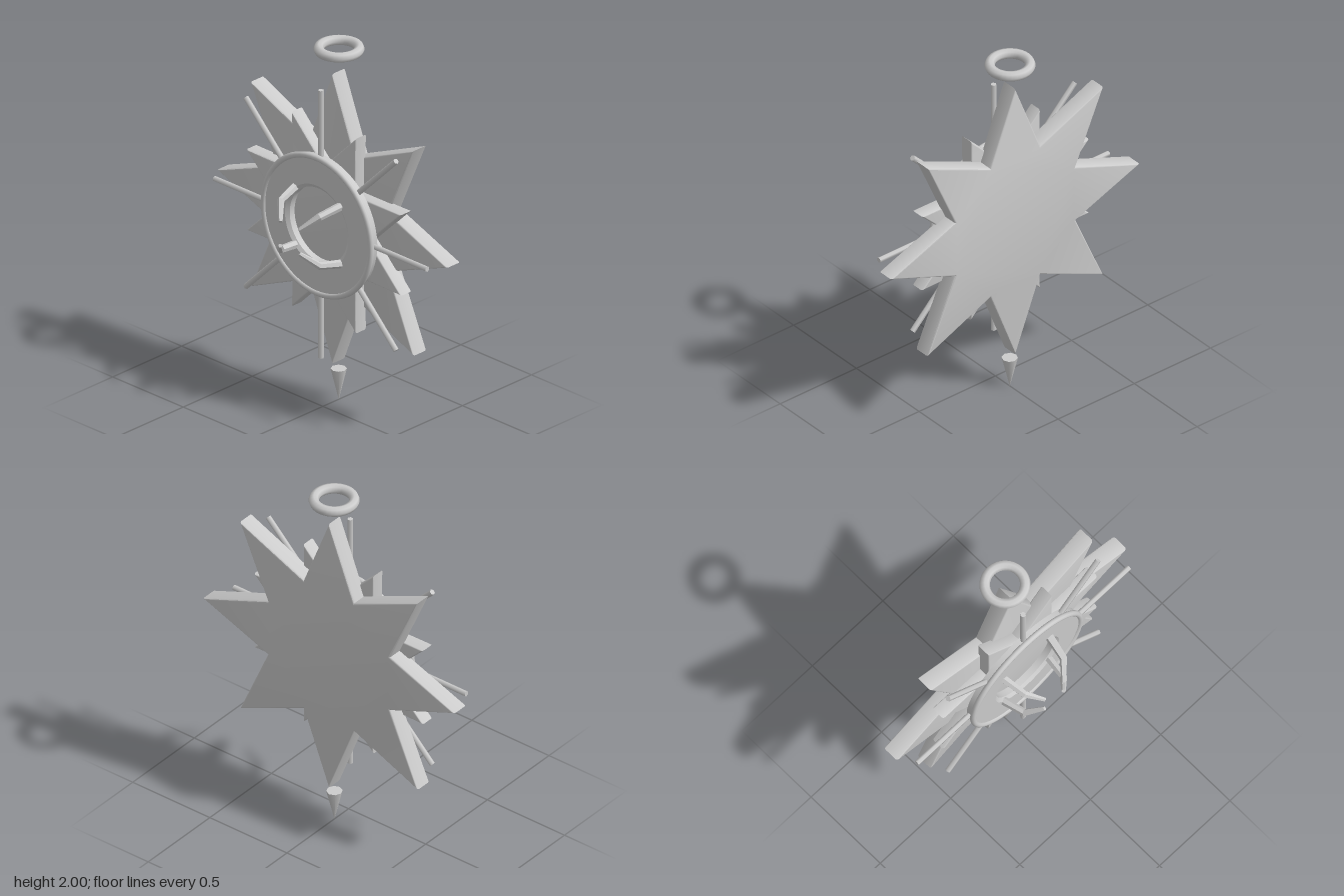
import * as THREE from 'three';
import { toCreasedNormals } from 'three/addons/utils/BufferGeometryUtils.js';

const CY = 1.032;      // height of the star's centre
const BACK_Z = -0.115; // depth of the back star, ring and drop

export function createModel() {
  const model = new THREE.Group();
  const grey = new THREE.MeshStandardMaterial({ color: 0xcccccc });

  function add(name, geometry, parent = model, x = 0, y = 0, z = 0) {
    const mesh = new THREE.Mesh(geometry, grey);
    mesh.name = name;
    mesh.position.set(x, y, z);
    parent.add(mesh);
    return mesh;
  }

  // Eight-pointed star plate with softened edges, from z0 to z1
  function star(outer, inner, turn, z0, z1) {
    const points = [];
    for (let i = 0; i < 16; i++) {
      const r = i % 2 ? inner : outer;
      const a = turn + i * Math.PI / 8;
      points.push(new THREE.Vector2(r * Math.cos(a), r * Math.sin(a)));
    }
    const bevel = 0.012;
    const geo = new THREE.ExtrudeGeometry(new THREE.Shape(points), {
      depth: z1 - z0 - 2 * bevel, bevelThickness: bevel, bevelSize: bevel,
      bevelOffset: -bevel, bevelSegments: 3,
    });
    geo.translate(0, 0, z0 + bevel);
    return toCreasedNormals(geo, 0.6);
  }

  const emblem = new THREE.Group();
  emblem.name = 'emblem';
  emblem.position.y = CY;
  model.add(emblem);

  add('backStar', star(0.815, 0.43, 0, -0.162, -0.066), emblem);
  add('frontStar', star(0.593, 0.32, Math.PI / 8, -0.084, -0.005), emblem);

  // Thin rods along the rays of the back star
  const rodGeo = new THREE.CylinderGeometry(0.015, 0.015, 0.453, 6, 1, false, Math.PI / 2);
  for (let i = 0; i < 8; i++) {
    const a = i * Math.PI / 4;
    const rod = add('rayRod', rodGeo, emblem, -0.5265 * Math.sin(a), 0.5265 * Math.cos(a), 0.0135);
    rod.rotation.z = a;
  }

  // Central plate: a flat ring with a sloped recess
  const profile = [[0.205, -0.006], [0.38, -0.006], [0.38, 0.044], [0.225, 0.044], [0.205, 0.03], [0.205, -0.006]]
    .map(([r, h]) => new THREE.Vector2(r, h));
  const plateGeo = new THREE.LatheGeometry(profile, 64);
  plateGeo.rotateX(Math.PI / 2);
  add('centrePlate', toCreasedNormals(plateGeo, 0.4), emblem);
  add('plateRim', new THREE.TorusGeometry(0.379, 0.016, 10, 64), emblem, 0, 0, 0.039);

  // Bent, tapering prong: [distance from centre, z, thickness, section tilt]
  function prongGeometry() {
    const rows = [[0.242, -0.01, 0.024, 0.27], [0.195, 0.165, 0.02, 0.58], [0.095, 0.239, 0.011, 0.93]];
    const geo = new THREE.CylinderGeometry(1, 1, 2, 6, 2);
    const pos = geo.attributes.position;
    for (let i = 0; i < pos.count; i++) {
      const [r, z, size, tilt] = rows[Math.round(pos.getY(i)) + 1];
      const u = pos.getX(i) * size;
      const v = -pos.getZ(i) * size;
      pos.setXYZ(i, r + u * Math.cos(tilt), -v * -1, z + u * Math.sin(tilt));
    }
    const flat = geo.toNonIndexed();
    flat.computeVertexNormals();
    return flat;
  }
  const prongGeo = prongGeometry();
  for (let i = 0; i < 4; i++) {
    add('prong', prongGeo, emblem).rotation.z = Math.PI / 4 + i * Math.PI / 2;
  }

  // Hanging ring above and pointed drop below
  const ringGeo = new THREE.TorusGeometry(0.103, 0.027, 8, 32);
  ringGeo.rotateX(Math.PI / 2);
  add('hangingRing', ringGeo, model, 0, 1.973, -0.117);

  const dropGeo = new THREE.ConeGeometry(0.042, 0.175, 8);
  dropGeo.rotateX(Math.PI);
  add('drop', dropGeo, model, 0, 0.0875, BACK_Z);

  return model;
}
